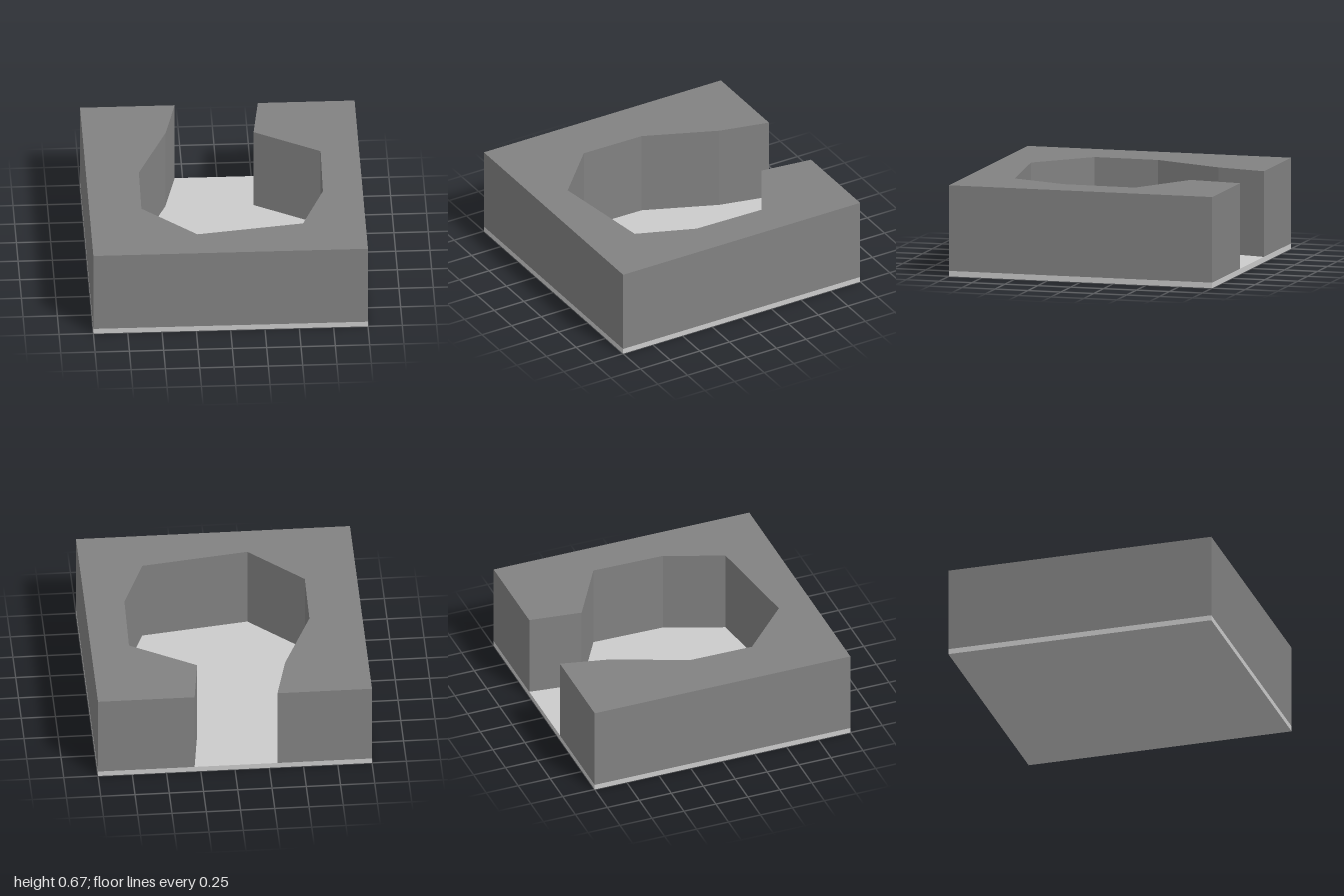
import * as THREE from 'three';

const FLOOR_TOP = 0.04;
const WALL_TOP = 0.67;

// Room outline as [x, z], running from one side of the back opening to the other
const ROOM = [
  [-0.31, -1], [-0.395, -0.63], [-0.615, -0.105], [-0.62, 0.38], [-0.23, 0.745],
  [0.545, 0.635], [0.71, 0.21], [0.72, -0.33], [0.245, -0.61], [0.295, -1],
];

export function createModel() {
  const model = new THREE.Group();

  // Thin floor slab
  const floor = new THREE.Mesh(
    new THREE.BoxGeometry(2, FLOOR_TOP, 2),
    new THREE.MeshStandardMaterial({ color: 0xcccccc })
  );
  floor.name = 'floor';
  floor.position.y = FLOOR_TOP / 2;
  model.add(floor);

  // Solid block around the room, open at the back
  const outline = [...ROOM, [1, -1], [1, 1], [-1, 1], [-1, -1]];
  const shape = new THREE.Shape(outline.map(([x, z]) => new THREE.Vector2(x, -z)));
  const geometry = new THREE.ExtrudeGeometry(shape, {
    depth: WALL_TOP - FLOOR_TOP,
    bevelEnabled: false,
  });
  geometry.rotateX(-Math.PI / 2);
  const walls = new THREE.Mesh(
    geometry,
    new THREE.MeshStandardMaterial({ color: 0x828282, flatShading: true })
  );
  walls.name = 'walls';
  walls.position.y = FLOOR_TOP;
  model.add(walls);

  return model;
}
